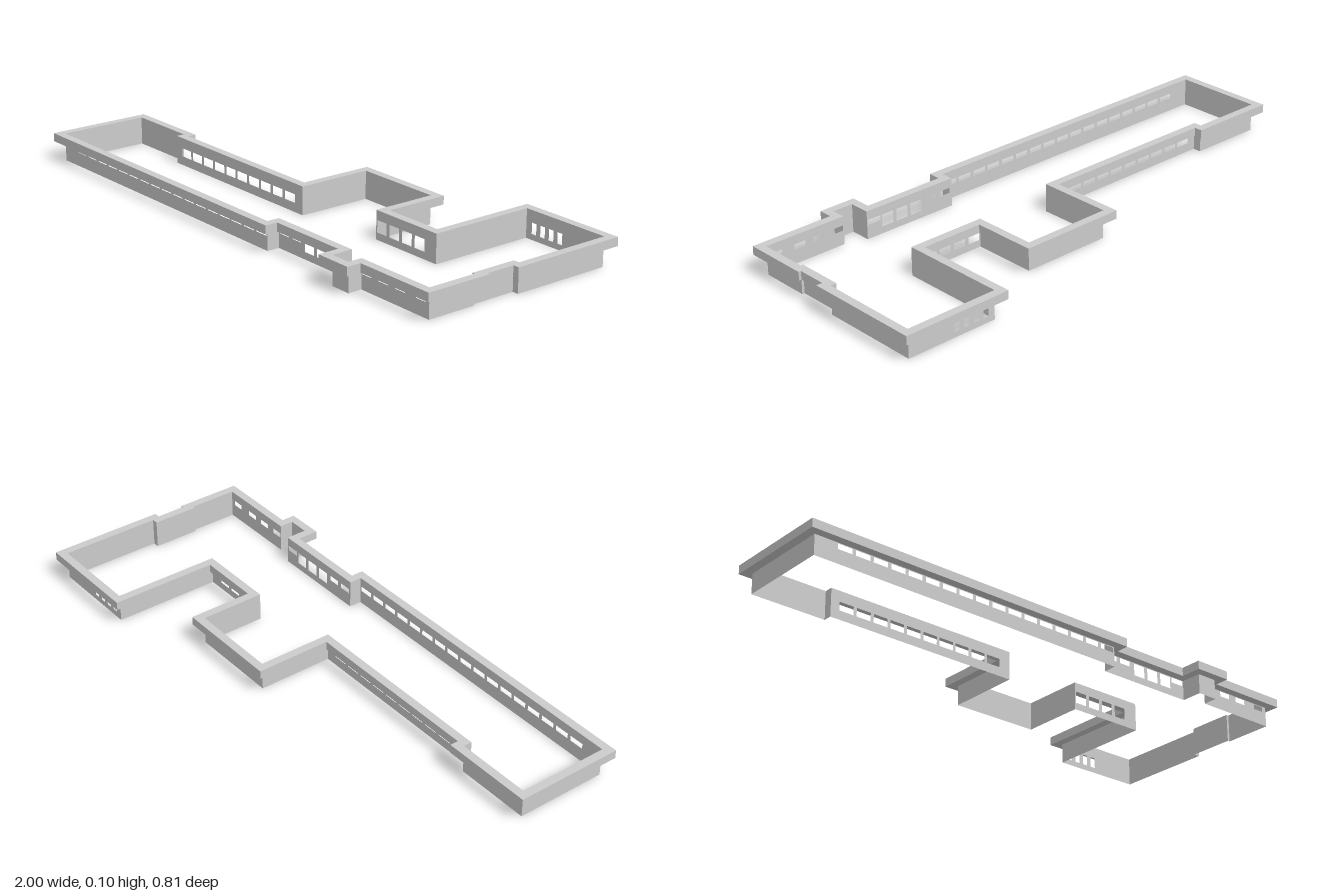
import * as THREE from 'three';

const WALL_TOP = 0.07, ROOF_TOP = 0.1, OVERHANG = 0.03;

// Roof edge in plan as [x, z], starting at the back corner on the -x side
const roofEdge = [
  [-1, -0.01], [-0.67, -0.01], [-0.67, 0.02], [-0.007, 0.02], [-0.007, -0.25],
  [0.38, -0.25], [0.38, -0.02], [0.605, -0.02], [0.605, -0.405], [1, -0.405],
  [1, 0.015], [0.978, 0.015], [0.978, 0.12], [0.987, 0.12], [0.987, 0.355],
  [0.685, 0.355], [0.685, 0.405], [0.55, 0.405], [0.55, 0.33], [0.25, 0.33],
  [0.25, 0.375], [-1, 0.375],
];

// Window rows per wall: first centre x, spacing, count, width, sill, head
const windows = {
  2: [[-0.64, 0.066, 10, 0.054, 0.032, 0.062]],
  6: [[0.378, 0.06, 4, 0.046, 0.025, 0.067]],
  8: [[0.67, 0.038, 4, 0.02, 0.02, 0.058]],
  14: [[0.68, 0.075, 3, 0.043, 0.05, 0.068], [0.92, 0, 1, 0.04, 0.05, 0.068]],
  18: [
    [0.25, 0.06, 2, 0.043, 0.05, 0.068],
    [0.375, 0.06, 3, 0.046, 0.025, 0.067],
    [0.55, 0, 1, 0.05, 0.05, 0.068],
  ],
  20: [[-0.86, 0.0655, 17, 0.053, 0.049, 0.067]],
};

// Moves every side of a right-angled outline inwards by d
function inset(points, d) {
  const n = points.length;
  const normal = (a, b) => {
    const dx = b[0] - a[0], dz = b[1] - a[1], l = Math.hypot(dx, dz);
    return [-dz / l, dx / l];
  };
  return points.map((p, i) => {
    const a = normal(points[(i + n - 1) % n], p);
    const b = normal(p, points[(i + 1) % n]);
    return [p[0] + d * (a[0] + b[0]), p[1] + d * (a[1] + b[1])];
  });
}

const toVectors = (points) => points.map(([x, y]) => new THREE.Vector2(x, y));

const rectangle = (x0, y0, x1, y1) => toVectors([[x0, y0], [x1, y0], [x1, y1], [x0, y1]]);

export function createModel() {
  const model = new THREE.Group();
  model.name = 'buildingShell';
  const material = new THREE.MeshStandardMaterial({ color: 0xcccccc });
  const wallMaterial = new THREE.MeshStandardMaterial({ color: 0xcccccc, side: THREE.DoubleSide });
  const wallLine = inset(roofEdge, OVERHANG);

  // Overhanging roof band
  const bandShape = new THREE.Shape(toVectors(roofEdge));
  bandShape.holes.push(new THREE.Path(toVectors(wallLine)));
  const bandGeometry = new THREE.ExtrudeGeometry(bandShape, { depth: ROOF_TOP - WALL_TOP, bevelEnabled: false });
  bandGeometry.rotateX(Math.PI / 2).translate(0, ROOF_TOP, 0);
  const band = new THREE.Mesh(bandGeometry, material);
  band.name = 'roofBand';
  model.add(band);

  // Thin walls with window openings
  const walls = new THREE.Group();
  walls.name = 'walls';
  wallLine.forEach(([x, z], i) => {
    const [x2, z2] = wallLine[(i + 1) % wallLine.length];
    const shape = new THREE.Shape(rectangle(0, 0, Math.hypot(x2 - x, z2 - z), WALL_TOP));
    for (const [first, step, count, width, sill, head] of windows[i] ?? []) {
      for (let k = 0; k < count; k++) {
        const u = Math.abs(first + k * step - x);
        shape.holes.push(new THREE.Path(rectangle(u - width / 2, sill, u + width / 2, head)));
      }
    }
    const wall = new THREE.Mesh(new THREE.ShapeGeometry(shape), wallMaterial);
    wall.name = windows[i] ? 'windowWall' : 'plainWall';
    wall.position.set(x, 0, z);
    wall.rotation.y = Math.atan2(z - z2, x2 - x);
    walls.add(wall);
  });
  model.add(walls);

  return model;
}
